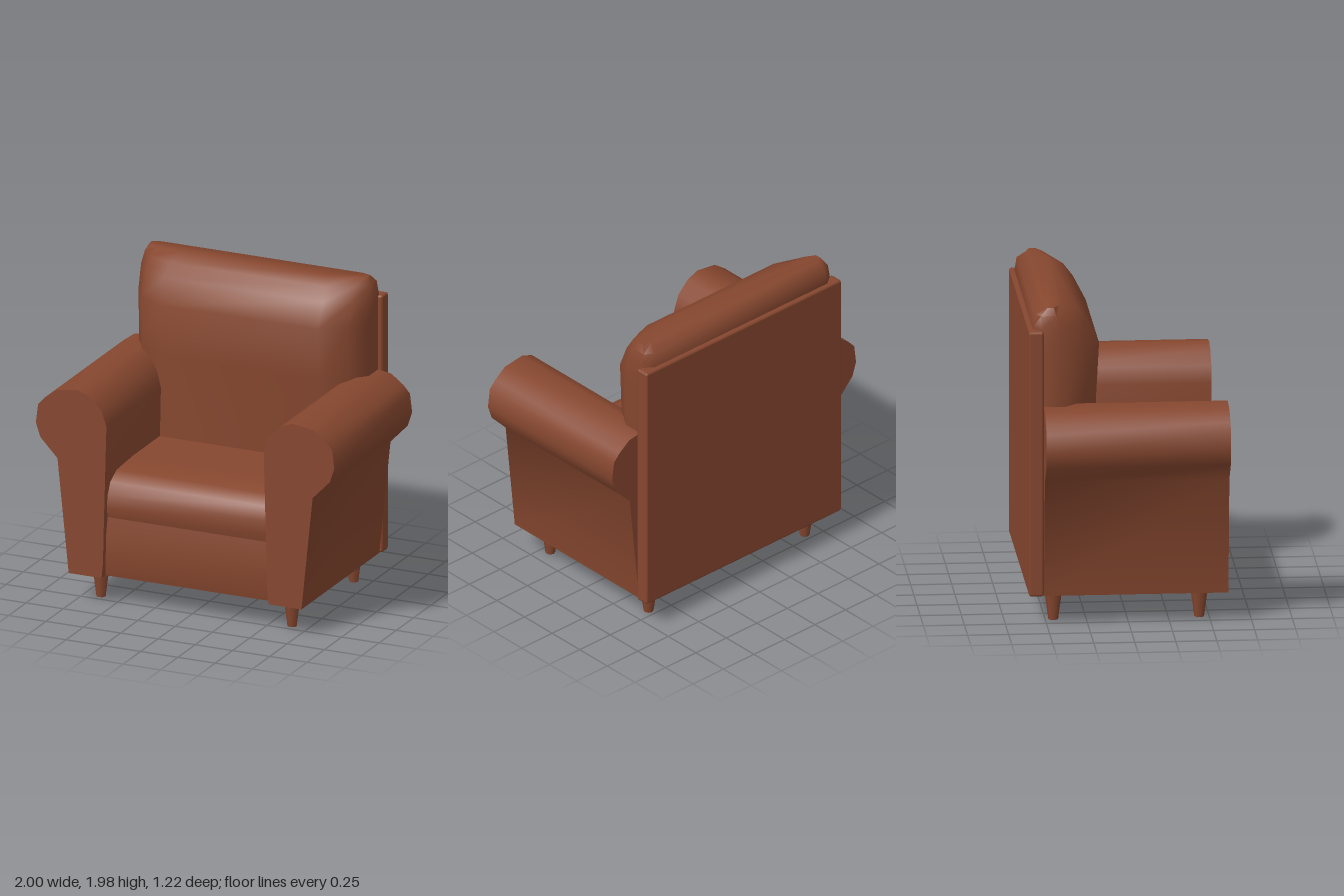
import * as THREE from 'three';
import { toCreasedNormals } from 'three/addons/utils/BufferGeometryUtils.js';
import { RoundedBoxGeometry } from 'three/addons/geometries/RoundedBoxGeometry.js';

const leather = new THREE.MeshStandardMaterial({ color: 0x86472f });
leather.name = 'brown leather';

function add(group, name, geometry) {
  const mesh = new THREE.Mesh(geometry, leather);
  mesh.name = name;
  group.add(mesh);
  return mesh;
}

// Prism from a 2D profile, centred along its depth, smooth over shallow corners
function prism(points, depth) {
  const shape = new THREE.Shape(points.map(([x, y]) => new THREE.Vector2(x, y)));
  const geo = new THREE.ExtrudeGeometry(shape, { depth, bevelEnabled: false });
  geo.translate(0, 0, -depth / 2);
  return toCreasedNormals(geo, 0.95);
}

// Back cushion: stacked horizontal outlines with chamfered front corners
function backCushionGeometry() {
  // y, front z, back z, half width
  const levels = [
    [0.6, -0.18, -0.56, 0.76], [1.37, -0.18, -0.58, 0.77], [1.7, -0.162, -0.58, 0.77],
    [1.85, -0.24, -0.58, 0.77], [1.93, -0.3, -0.57, 0.755], [1.975, -0.39, -0.51, 0.73],
  ];
  const pos = [];
  for (const [y, zf, zb, w] of levels) {
    const d = zf - zb;
    const half = [[0.69 * w, zf], [0.9 * w, zf - 0.21 * d], [w, zf - 0.52 * d],
      [w, zb + 0.14 * d], [0.92 * w, zb]];
    for (const [x, z] of half) pos.push(x, y, z);
    for (const [x, z] of half.reverse()) pos.push(-x, y, z);
  }
  const n = 10, index = [], top = (levels.length - 1) * n;
  for (let l = 0; l < levels.length - 1; l++) {
    for (let i = 0; i < n; i++) {
      const a = l * n + i, b = l * n + (i + 1) % n;
      index.push(a, b, b + n, a, b + n, a + n);
    }
  }
  for (let i = 1; i < n - 1; i++) {
    index.push(top, top + i, top + i + 1, 0, i + 1, i);
  }
  const geo = new THREE.BufferGeometry();
  geo.setAttribute('position', new THREE.Float32BufferAttribute(pos, 3));
  geo.setIndex(index);
  return toCreasedNormals(geo, 0.95);
}

export function createModel() {
  const chair = new THREE.Group();
  chair.name = 'armchair';

  // Rolled arms, mirrored
  const armProfile = [
    [0.56, 0.18], [0.78, 0.18], [0.855, 0.91], [0.97, 1.03], [1.0, 1.12], [0.985, 1.24],
    [0.94, 1.29], [0.86, 1.35], [0.72, 1.37], [0.64, 1.34], [0.56, 1.26], [0.527, 1.16],
    [0.545, 0.5], [0.55, 0.28],
  ];
  for (const [side, s] of [['left', 1], ['right', -1]]) {
    const arm = add(chair, side + 'Arm', prism(armProfile.map(([x, y]) => [s * x, y]), 1.125));
    arm.position.z = 0.045;
  }

  // Seat base and cushion: side profiles (z, y) run across the width
  const base = prism([[-0.52, 0.18], [0.55, 0.18], [0.57, 0.28], [0.57, 0.45],
    [0.555, 0.56], [-0.52, 0.56]], 1.24);
  add(chair, 'seatBase', base.rotateY(-Math.PI / 2));
  const seat = prism([[-0.5, 0.56], [0.555, 0.56], [0.57, 0.62], [0.565, 0.7],
    [0.53, 0.78], [0.44, 0.83], [0.2, 0.845], [-0.5, 0.845]], 1.16);
  add(chair, 'seatCushion', seat.rotateY(-Math.PI / 2));

  // Backrest
  add(chair, 'backCushion', backCushionGeometry());
  const panel = add(chair, 'backPanel', new RoundedBoxGeometry(1.6, 1.66, 0.092, 1, 0.015));
  panel.position.set(0, 1.01, -0.564);

  // Tapered legs
  const legGeo = new THREE.CylinderGeometry(0.057, 0.03, 0.2, 8);
  for (const x of [-0.64, 0.64]) {
    for (const z of [0.44, -0.45]) {
      const name = (z > 0 ? 'front' : 'back') + (x > 0 ? 'Left' : 'Right') + 'Leg';
      add(chair, name, legGeo).position.set(x, 0.1, z);
    }
  }
  return chair;
}
